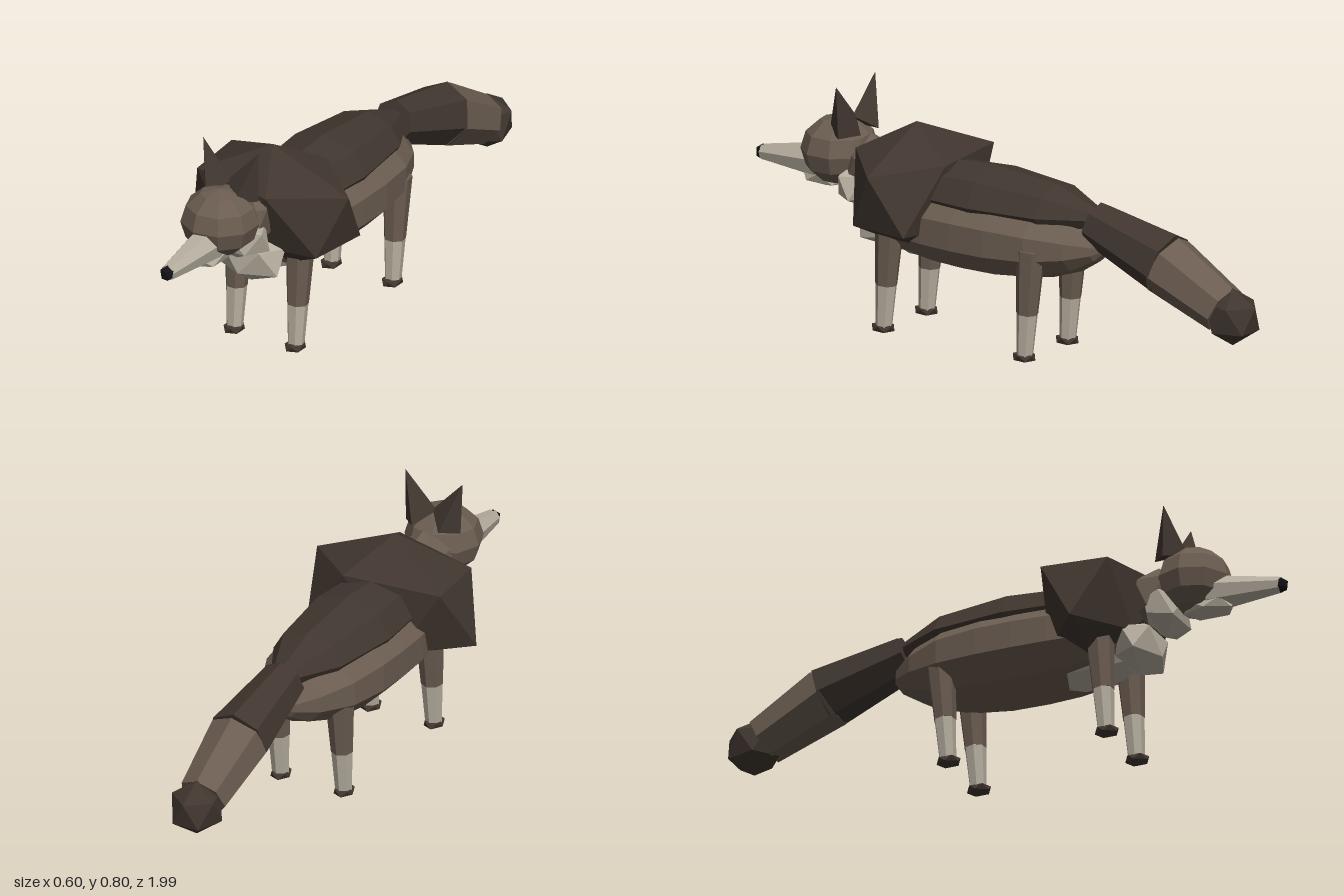
import * as THREE from 'three';
import { ConvexGeometry } from 'three/addons/geometries/ConvexGeometry.js';

const mat = (color) => new THREE.MeshStandardMaterial({ color, flatShading: true });
const V = (x, y, z) => new THREE.Vector3(x, y, z);
const CX = 0.01; // the head, legs and tail share this middle line

export function createModel() {
  const fox = new THREE.Group();
  fox.name = 'fox';
  const dark = mat(0x40362f), brown = mat(0x6a5c50), light = mat(0xb5ad9e), black = mat(0x121214);

  function add(name, geometry, material) {
    const mesh = new THREE.Mesh(geometry, material);
    mesh.name = name;
    fox.add(mesh);
    return mesh;
  }

  // Tapered prism running from a (radius ra) to b (radius rb)
  function limb(name, a, b, ra, rb, sides, material) {
    const dir = b.clone().sub(a);
    const mesh = add(name, new THREE.CylinderGeometry(rb, ra, dir.length(), sides), material);
    mesh.quaternion.setFromUnitVectors(V(0, 1, 0), dir.normalize());
    mesh.position.copy(a).lerp(b, 0.5);
    return mesh;
  }

  // Faceted lump with separate radii
  function lump(name, p, r, material, turn = 0) {
    const g = new THREE.IcosahedronGeometry(1, 0);
    g.rotateZ(-0.5536).rotateY(turn); // put a corner on top
    g.scale(r.x, r.y, r.z).translate(p.x, p.y, p.z);
    return add(name, g, material);
  }

  // Round hull along z; profile holds [z, relative radius]
  function hull(name, profile, rx, ry, y, sides, material) {
    const g = new THREE.LatheGeometry(profile.map(([z, r]) => new THREE.Vector2(r, z)), sides);
    g.rotateX(Math.PI / 2).scale(rx, ry, 1).translate(0.003, y, 0);
    return add(name, g, material);
  }

  // Trunk, back and belly
  hull('body', [[-0.4, 0], [-0.37, 0.3], [-0.3, 0.6], [-0.18, 0.88], [-0.03, 0.99], [0.1, 1],
    [0.22, 0.97], [0.36, 0.86], [0.46, 0.5], [0.5, 0]], 0.2, 0.15, 0.395, 10, brown);
  hull('backFur', [[-0.36, 0], [-0.35, 0.3], [-0.2, 0.8], [0.05, 1], [0.22, 0.92],
    [0.38, 0.6], [0.45, 0]], 0.162, 0.11, 0.495, 8, dark);
  hull('belly', [[0, 0], [0.07, 0.6], [0.2, 1], [0.34, 1], [0.44, 0.6], [0.48, 0]],
    0.11, 0.075, 0.325, 8, light);

  // Shoulder mane: an uneven twenty-sided lump
  add('mane', new ConvexGeometry([
    V(0.01, 0.7, 0.36), V(0, 0.26, 0.36),
    V(-0.24, 0.59, 0.23), V(0.1, 0.6, 0.18), V(0.3, 0.58, 0.35), V(0.1, 0.6, 0.54), V(-0.22, 0.59, 0.46),
    V(-0.3, 0.37, 0.36), V(-0.1, 0.36, 0.2), V(0.265, 0.385, 0.23), V(0.24, 0.385, 0.45), V(-0.08, 0.38, 0.49),
  ]), dark);

  // Chest and throat fur
  lump('chestFur', V(0.005, 0.35, 0.48), V(0.14, 0.095, 0.085), light, 0.3);
  lump('throatFur', V(0.01, 0.46, 0.57), V(0.135, 0.085, 0.075), light, 0.9);
  lump('neck', V(0.01, 0.51, 0.54), V(0.11, 0.12, 0.1), brown);

  // Head
  const skull = new THREE.SphereGeometry(1, 9, 6);
  skull.scale(0.132, 0.115, 0.128).translate(CX, 0.553, 0.668);
  add('head', skull, brown);
  limb('snout', V(CX, 0.5, 0.73), V(CX, 0.487, 0.975), 0.063, 0.027, 7, light);
  lump('jaw', V(CX, 0.452, 0.72), V(0.06, 0.034, 0.1), light);
  lump('nose', V(CX, 0.487, 0.975), V(0.026, 0.028, 0.026), black);

  // Ears
  for (const s of [-1, 1]) {
    const p = (x, y, z) => V(CX + s * x, y, z);
    add(s > 0 ? 'leftEar' : 'rightEar', new ConvexGeometry([
      p(0.109, 0.798, 0.605), p(0.104, 0.62, 0.6), p(0.055, 0.63, 0.668),
      p(-0.008, 0.675, 0.61), p(0.05, 0.63, 0.548),
    ]), dark);
  }

  // Legs
  for (const s of [-1, 1]) {
    for (const [end, z] of [['front', 0.38], ['rear', -0.185]]) {
      const side = s > 0 ? 'Left' : 'Right';
      const x = CX + s * 0.12;
      limb(`${end}${side}UpperLeg`, V(x, 0.39, z), V(x, 0.17, z + 0.015), 0.05, 0.037, 7, brown);
      limb(`${end}${side}LowerLeg`, V(x, 0.172, z + 0.015), V(x, 0.025, z + 0.025), 0.036, 0.028, 7, light);
      lump(`${end}${side}Paw`, V(x, 0.02, z + 0.028), V(0.036, 0.02, 0.045), dark);
    }
  }

  // Tail
  limb('tailBase', V(0, 0.48, -0.35), V(0, 0.39, -0.64), 0.074, 0.107, 7, dark);
  limb('tailMiddle', V(0, 0.39, -0.635), V(0, 0.275, -0.865), 0.106, 0.083, 7, brown);
  lump('tailTip', V(0, 0.256, -0.9), V(0.092, 0.097, 0.1), dark, Math.PI / 2);

  return fox;
}
